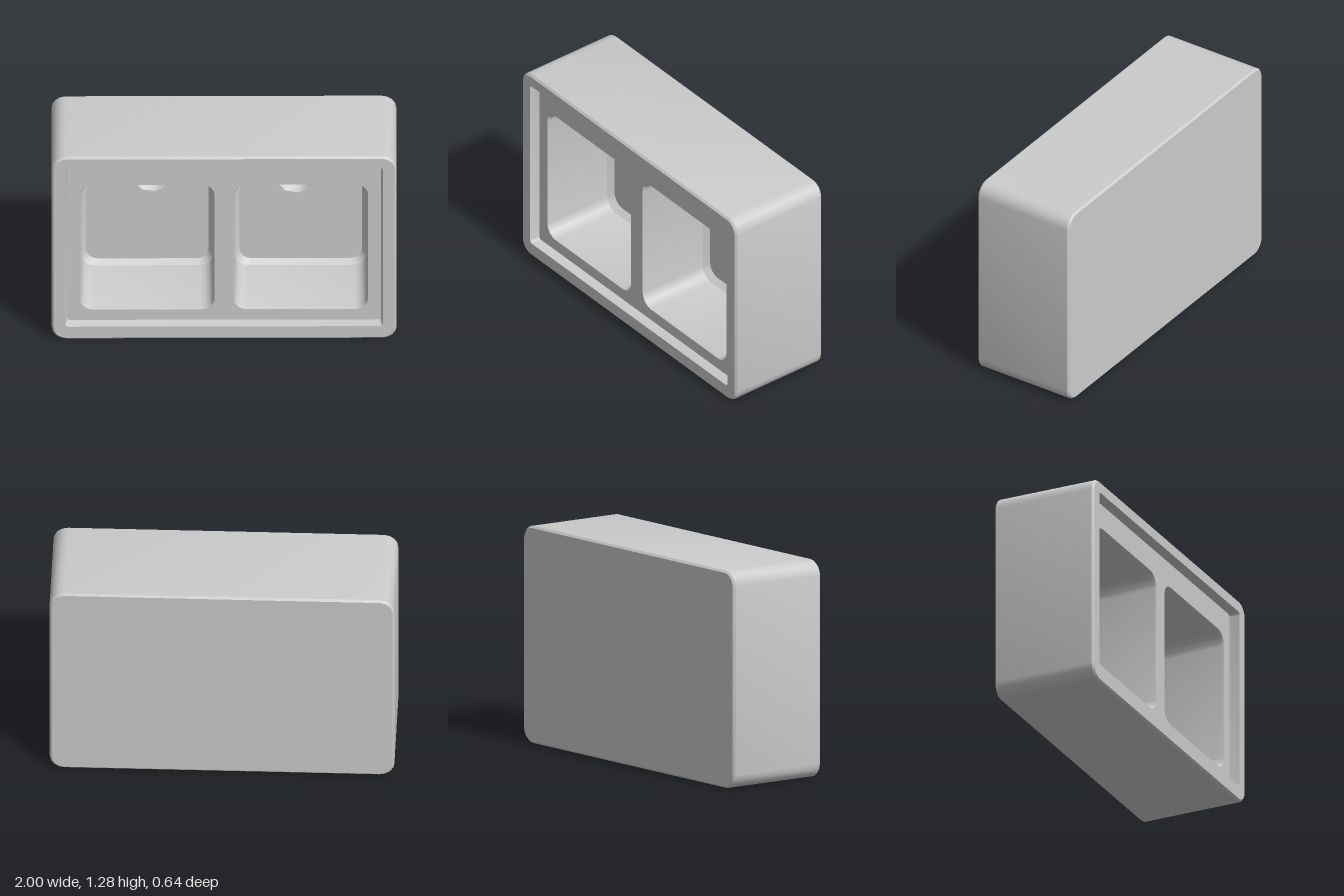
import * as THREE from 'three';
import { toCreasedNormals } from 'three/addons/utils/BufferGeometryUtils.js';

const material = new THREE.MeshStandardMaterial({ color: 0xcccccc });

// Counter-clockwise rounded rectangle with a fixed number of points
function roundedRect(x0, x1, y0, y1, r, steps = 4) {
  const points = [];
  const corners = [[x1 - r, y0 + r], [x1 - r, y1 - r], [x0 + r, y1 - r], [x0 + r, y0 + r]];
  corners.forEach(([cx, cy], c) => {
    for (let i = 0; i <= steps; i++) {
      const a = (c - 1 + i / steps) * Math.PI / 2;
      points.push(new THREE.Vector2(cx + r * Math.cos(a), cy + r * Math.sin(a)));
    }
  });
  return points;
}

function polygon(cx, cy, r, sides) {
  return Array.from({ length: sides }, (_, i) => {
    const a = i / sides * Math.PI * 2;
    return new THREE.Vector2(cx + r * Math.cos(a), cy + r * Math.sin(a));
  });
}

// Skin through a series of loops, each [points, z]
function loft(sections) {
  const n = sections[0][0].length, positions = [], index = [];
  for (const [points, z] of sections) for (const p of points) positions.push(p.x, p.y, z);
  for (let s = 0; s < sections.length - 1; s++) {
    for (let i = 0; i < n; i++) {
      const a = s * n + i, b = s * n + (i + 1) % n;
      index.push(a, b, b + n, a, b + n, a + n);
    }
  }
  const geometry = new THREE.BufferGeometry();
  geometry.setAttribute('position', new THREE.Float32BufferAttribute(positions, 3));
  geometry.setIndex(index);
  return toCreasedNormals(geometry, 0.55);
}

// Flat face with optional holes, looking towards +z
function face(outline, z, holes = []) {
  const shape = new THREE.Shape(outline);
  shape.holes = holes.map(h => new THREE.Path(h));
  return new THREE.ShapeGeometry(shape).translate(0, 0, z);
}

export function createModel() {
  const group = new THREE.Group();
  const add = (name, geometry, parent = group) => {
    const mesh = new THREE.Mesh(geometry, material);
    mesh.name = name;
    parent.add(mesh);
    return mesh;
  };

  const BACK = -0.32, FRONT = 0.32, DECK = 0.26, FLOOR = -0.21;
  const outer = inset => roundedRect(-1 + inset, 1 - inset, inset, 1.28 - inset, 0.085 - inset);
  const recessTop = roundedRect(-0.92, 0.92, 0.09, 1.205, 0.015);
  const recess = roundedRect(-0.91, 0.91, 0.097, 1.198, 0.015);

  // Outer block, raised rim and step down to the deck
  add('outerShell', loft([
    [outer(0.012), BACK], [outer(0), BACK + 0.012],
    [outer(0), FRONT - 0.012], [outer(0.012), FRONT],
    [recessTop, FRONT], [recess, DECK],
  ]));
  add('back', face(outer(0.012), 0, []).rotateY(Math.PI).translate(0, 0, BACK));

  // Basins, mirrored about the divider
  const openings = [];
  for (const [side, name, drainY] of [[1, 'leftBasin', 0.78], [-1, 'rightBasin', 0.79]]) {
    const cx = side * 0.445;
    const loop = (inset, top, r) =>
      roundedRect(cx - 0.39 + inset, cx + 0.39 - inset, 0.17 + inset, top, r);
    const opening = loop(0, 1.048, 0.075);
    const floor = loop(0.035, 1.0, 0.07);
    openings.push(opening);

    const basin = new THREE.Group();
    basin.name = name;
    group.add(basin);
    add('basinWalls', loft([
      [opening, DECK], [loop(0.006, 1.038, 0.075), DECK - 0.02],
      [loop(0.01, 1.025, 0.075), FLOOR + 0.035], [floor, FLOOR],
    ]), basin);

    // Shallow drain pressed into the basin floor
    const drainX = side * 0.415;
    const drain = polygon(drainX, drainY, 0.115, 9);
    const drainBottom = polygon(drainX, drainY, 0.085, 9);
    add('basinFloor', face(floor, FLOOR, [drain]), basin);
    add('drainWall', loft([[drain, FLOOR], [drainBottom, FLOOR - 0.035]]), basin);
    add('drainBottom', face(drainBottom, FLOOR - 0.035), basin);
  }

  // Deck around both basins
  add('deck', face(recess, DECK, openings));
  return group;
}
